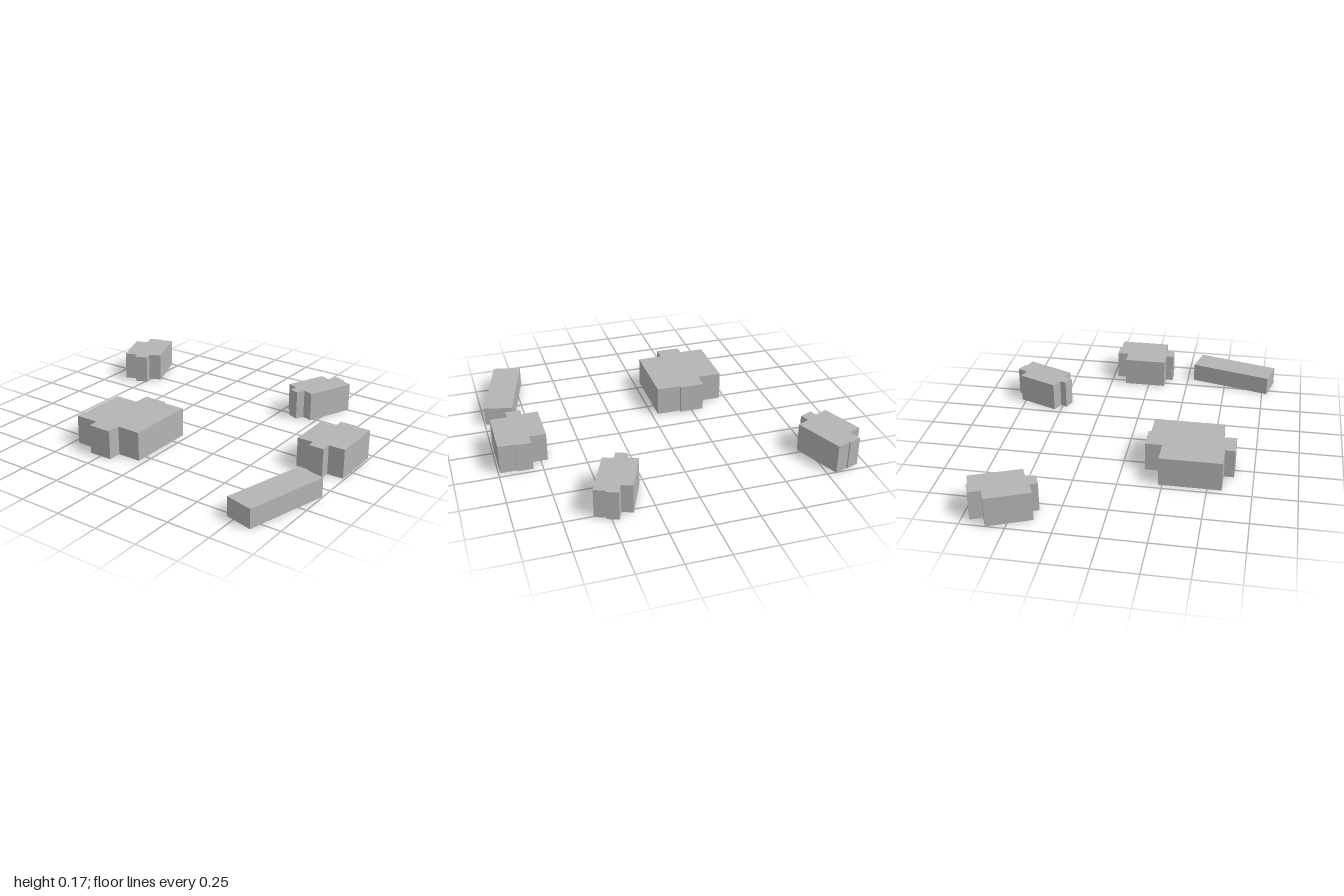
import * as THREE from 'three';

const wall = new THREE.MeshStandardMaterial({ color: 0xb4b4b4 });
wall.name = 'plain grey';

// Upright block from a footprint of [x, z] corners
function block(name, height, corners) {
  const shape = new THREE.Shape(corners.map(([x, z]) => new THREE.Vector2(x, -z)));
  const geometry = new THREE.ExtrudeGeometry(shape, { depth: height, bevelEnabled: false });
  geometry.rotateX(-Math.PI / 2);
  const mesh = new THREE.Mesh(geometry, wall);
  mesh.name = name;
  return mesh;
}

// Footprint of three bands, back to front, each spanning [x0, x1] between successive z values
function stepped(z, bands) {
  const right = bands.flatMap(([, x1], i) => [[x1, z[i]], [x1, z[i + 1]]]);
  const left = bands.flatMap(([x0], i) => [[x0, z[i]], [x0, z[i + 1]]]);
  return [...right, ...left.reverse()];
}

export function createModel() {
  const group = new THREE.Group();
  group.name = 'buildingCluster';
  const tall = 0.172;

  // Houses square to the axes
  group.add(block('largeHouse', tall, stepped(
    [-0.466, -0.323, -0.18, -0.037],
    [[-0.582, -0.228], [-0.64, -0.132], [-0.561, -0.148]])));
  group.add(block('frontHouse', tall, stepped(
    [0.709, 0.804, 0.894, 0.99],
    [[-0.103, 0.153], [-0.148, 0.222], [-0.09, 0.212]])));

  // Houses turned at an angle
  group.add(block('sideHouse', tall, [
    [0.541, 0.278], [0.778, 0.376], [0.754, 0.437], [0.816, 0.463], [0.791, 0.526], [0.78, 0.522],
    [0.754, 0.585], [0.476, 0.468], [0.501, 0.407], [0.448, 0.386], [0.474, 0.325], [0.512, 0.341]]));
  group.add(block('backHouse', tall, [
    [0.606, -1], [0.636, -0.926], [0.704, -0.954], [0.733, -0.881], [0.726, -0.878], [0.754, -0.802],
    [0.474, -0.688], [0.444, -0.759], [0.391, -0.738], [0.361, -0.811], [0.401, -0.828], [0.37, -0.902]]));

  // Low long shed
  group.add(block('lowShed', 0.112, [
    [-0.779, 0.704], [-0.29, 0.833], [-0.331, 0.996], [-0.82, 0.866]]));

  return group;
}
